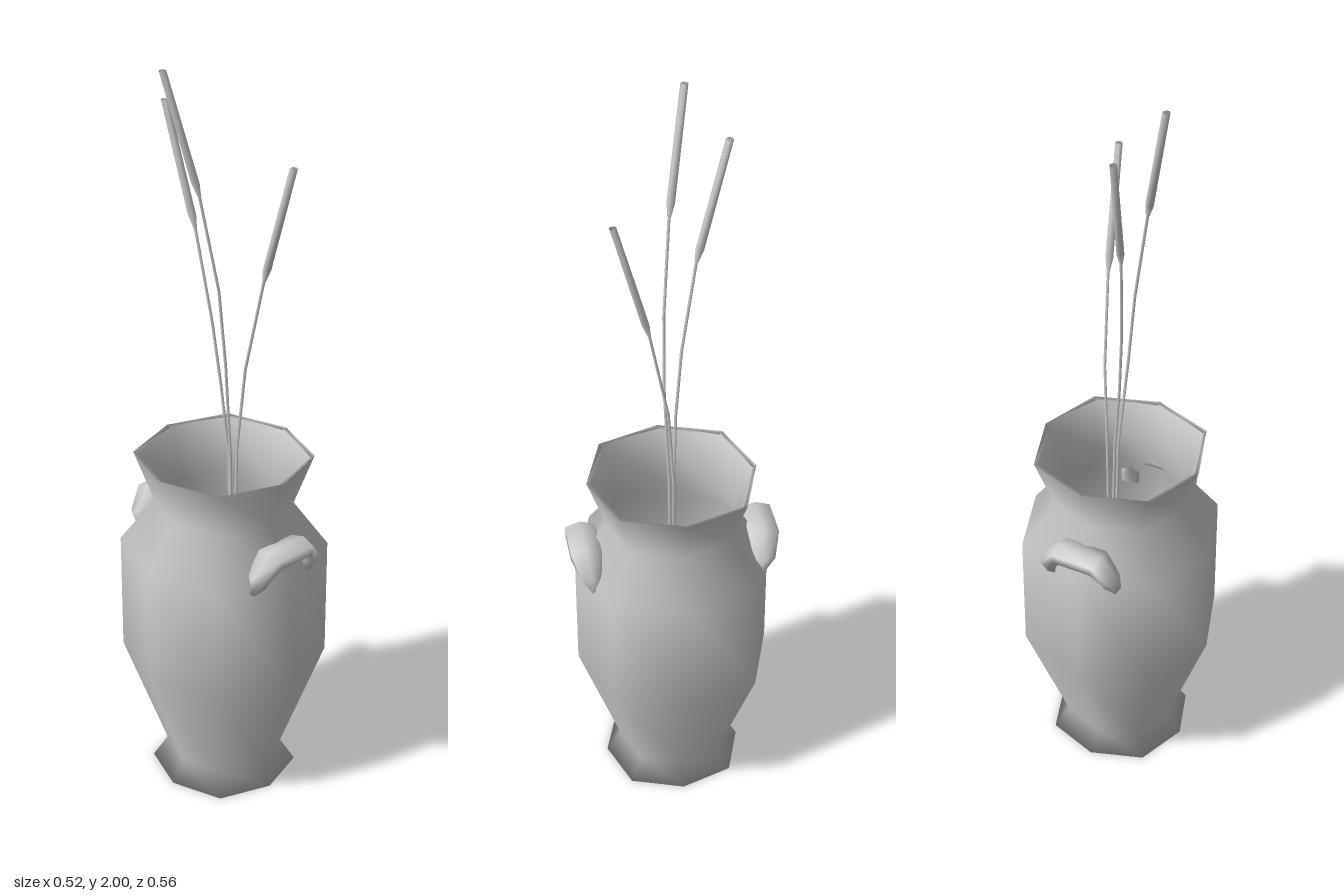
import * as THREE from 'three';

const material = new THREE.MeshStandardMaterial({ color: 0xcccccc, side: THREE.DoubleSide });

// Skins a list of rings (each an array of Vector3) and caps both ends
function loft(rings) {
  const n = rings[0].length;
  const index = [];
  for (let i = 0; i < rings.length - 1; i++) {
    for (let j = 0; j < n; j++) {
      const a = i * n + j, b = i * n + (j + 1) % n;
      index.push(a, b, b + n, a, b + n, a + n);
    }
  }
  const last = (rings.length - 1) * n;
  for (let j = 1; j < n - 1; j++) {
    index.push(0, j + 1, j, last, last + j, last + j + 1);
  }
  const geometry = new THREE.BufferGeometry().setFromPoints(rings.flat());
  geometry.setIndex(index);
  geometry.computeVertexNormals();
  return geometry;
}

// Ring of points around a centre, spanned by two half-axes
function ring(center, u, w, sides) {
  return Array.from({ length: sides }, (_, i) => {
    const t = (i / sides) * Math.PI * 2;
    return center.clone().addScaledVector(u, Math.cos(t)).addScaledVector(w, Math.sin(t));
  });
}

function addMesh(parent, name, geometry) {
  const mesh = new THREE.Mesh(geometry, material);
  mesh.name = name;
  parent.add(mesh);
  return mesh;
}

// Eight-sided hollow vase
function vaseGeometry() {
  const profile = [
    [0, 0], [0.188, 0], [0.15, 0.06], [0.262, 0.37], [0.262, 0.7], [0.175, 0.82], [0.225, 0.96],
    [0.214, 0.955], [0.165, 0.82], [0.25, 0.695], [0.25, 0.375], [0.14, 0.07], [0, 0.05],
  ].map(([r, y]) => new THREE.Vector2(r, y));
  const geometry = new THREE.LatheGeometry(profile, 8);
  // Push the diagonal corners out a little
  const p = geometry.attributes.position;
  for (let i = 0; i < p.count; i++) {
    const x = p.getX(i), z = p.getZ(i);
    const k = 1 + 0.05 * Math.abs(Math.sin(2 * Math.atan2(z, x)));
    p.setX(i, x * k);
    p.setZ(i, z * k);
  }
  return geometry;
}

// Arched lug handle: half the stations are given, the rest mirrored
function handleGeometry() {
  // x, y, z, outward direction (x, y), half thickness, half depth
  const half = [
    [0.085, 0.67, 0.215, 1, 0, 0.03, 0.014],
    [0.09, 0.72, 0.232, 0.95, 0.3, 0.025, 0.033],
    [0.055, 0.767, 0.238, 0.3, 0.95, 0.024, 0.047],
  ];
  const mirrored = half.map(([x, y, z, ux, uy, a, b]) => [-x, y, z, -ux, uy, a, b]).reverse();
  return loft([...half, ...mirrored].map(([x, y, z, ux, uy, a, b]) => ring(
    new THREE.Vector3(x, y, z),
    new THREE.Vector3(ux * a, uy * a, 0),
    new THREE.Vector3(0, 0, -b), 6)));
}

// Thin bent stem; the final span swells into a seed head
function reedGeometry(points) {
  const path = points.map((p) => new THREE.Vector3(...p));
  const tip = path.pop();
  const knee = path[path.length - 1];
  const stations = path.map((p) => [p, 0.004]);
  stations.push([knee.clone().lerp(tip, 0.12), 0.011], [tip, 0.01]);
  return loft(stations.map(([p, r]) =>
    ring(p, new THREE.Vector3(r, 0, 0), new THREE.Vector3(0, 0, -r), 6)));
}

export function createModel() {
  const model = new THREE.Group();
  model.name = 'vaseWithReeds';

  addMesh(model, 'vase', vaseGeometry());

  // Front and back handles
  const handle = handleGeometry();
  addMesh(model, 'frontHandle', handle);
  addMesh(model, 'backHandle', handle).rotation.y = Math.PI;

  // Three reeds standing in the vase
  const reeds = [
    [[0.03, 0.06, 0], [0.014, 0.96, 0.01], [-0.01, 1.22, 0.018], [-0.03, 1.43, 0.015],
      [-0.073, 1.68, -0.006], [-0.143, 2, -0.056]],
    [[0.04, 0.06, 0], [0.018, 0.96, -0.002], [0, 1.15, -0.01], [-0.015, 1.33, -0.027],
      [-0.034, 1.57, -0.066], [-0.057, 1.89, -0.15]],
    [[0.03, 0.06, 0], [0.043, 0.96, 0.003], [0.057, 1.19, 0.019],
      [0.072, 1.44, 0.068], [0.086, 1.76, 0.155]],
  ];
  const bunch = new THREE.Group();
  bunch.name = 'reeds';
  reeds.forEach((points, i) => addMesh(bunch, `reed${i + 1}`, reedGeometry(points)));
  model.add(bunch);

  return model;
}
